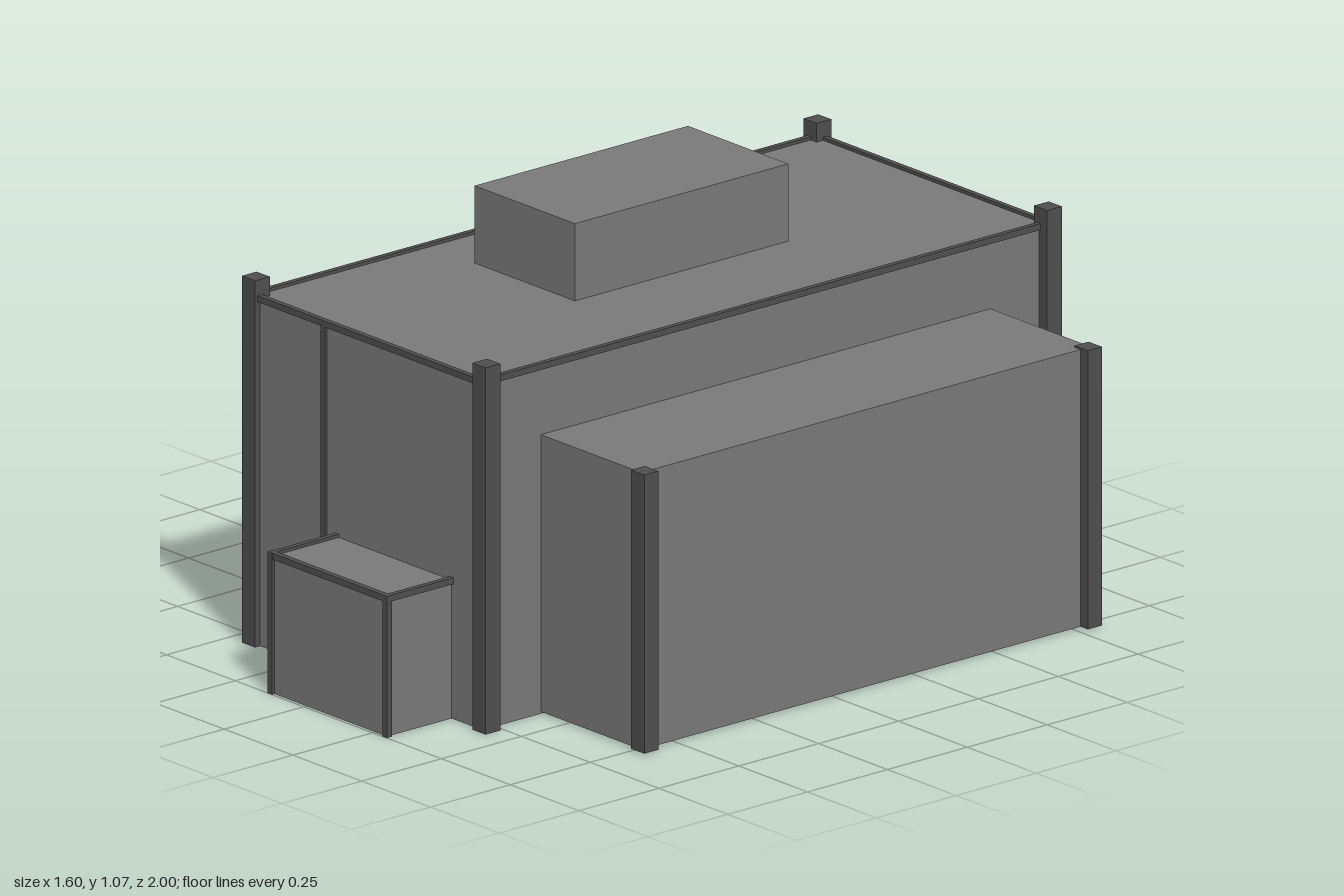
import * as THREE from 'three';

export function createModel() {
  const model = new THREE.Group();
  const wallMat = new THREE.MeshStandardMaterial({ color: 0x7a7a7a });
  const trimMat = new THREE.MeshStandardMaterial({ color: 0x505050 });

  // Box given by its lower and upper limits on each axis
  function box(name, [x0, x1], [y0, y1], [z0, z1], mat, parent = model) {
    const mesh = new THREE.Mesh(new THREE.BoxGeometry(x1 - x0, y1 - y0, z1 - z0), mat);
    mesh.position.set((x0 + x1) / 2, (y0 + y1) / 2, (z0 + z1) / 2);
    mesh.name = name;
    parent.add(mesh);
    return mesh;
  }

  function section(name) {
    const group = new THREE.Group();
    group.name = name;
    model.add(group);
    return group;
  }

  // Main hall with corner posts and roof rim
  const hall = section('mainHall');
  box('hallWalls', [-0.43, 0.405], [0, 0.873], [-0.98, 0.79], wallMat, hall);
  for (const x of [-0.427, 0.411])
    for (const z of [-0.975, 0.783])
      box('hallCornerPost', [x - 0.024, x + 0.024], [0, 0.92], [z - 0.023, z + 0.023], trimMat, hall);
  for (const x of [-0.431, 0.404])
    box('hallSideRim', [x - 0.007, x + 0.007], [0.865, 0.881], [-0.98, 0.79], trimMat, hall);
  for (const z of [-0.979, 0.791])
    box('hallEndRim', [-0.43, 0.405], [0.865, 0.881], [z - 0.007, z + 0.007], trimMat, hall);

  // Narrow strips dividing the front and left walls
  box('frontWallStrip', [-0.175, -0.16], [0, 0.866], [0.785, 0.797], trimMat, hall);
  for (const z of [-0.535, -0.095, 0.348])
    box('leftWallStrip', [-0.437, -0.425], [0, 0.866], [z - 0.007, z + 0.007], trimMat, hall);

  // Box on the roof
  box('roofBox', [-0.265, 0.1], [0.86, 1.067], [-0.43, 0.238], wallMat);

  // Long wing on the left (+x) with two outer posts
  const wing = section('longWing');
  box('longWingWalls', [0.4, 0.77], [0.005, 0.7], [-0.8, 0.607], wallMat, wing);
  for (const z of [-0.79, 0.599])
    box('longWingPost', [0.748, 0.797], [0.005, 0.704], [z - 0.022, z + 0.022], trimMat, wing);

  // Front porch with thin posts and rim
  const porch = section('frontPorch');
  box('porchWalls', [-0.124, 0.293], [0, 0.347], [0.78, 0.992], wallMat, porch);
  for (const x of [-0.124, 0.293]) {
    box('porchPost', [x - 0.008, x + 0.008], [0, 0.355], [0.984, 1], trimMat, porch);
    box('porchSideRim', [x - 0.007, x + 0.007], [0.339, 0.355], [0.79, 0.995], trimMat, porch);
  }
  box('porchFrontRim', [-0.124, 0.293], [0.339, 0.355], [0.984, 0.999], trimMat, porch);

  // Kiosk on the right (-x) with posts and rim
  const kiosk = section('sideKiosk');
  box('kioskWalls', [-0.67, -0.42], [0.005, 0.396], [-0.495, 0.312], wallMat, kiosk);
  for (const z of [-0.493, 0.31]) {
    box('kioskPost', [-0.684, -0.657], [0.005, 0.405], [z - 0.012, z + 0.012], trimMat, kiosk);
    box('kioskEndRim', [-0.67, -0.43], [0.39, 0.404], [z - 0.009, z + 0.009], trimMat, kiosk);
  }
  box('kioskFrontRim', [-0.678, -0.663], [0.39, 0.404], [-0.495, 0.312], trimMat, kiosk);

  // Sloped bar running between two points in the x-y plane
  function slopedBar(name, [ax, ay], [bx, by], thick, z0, z1) {
    const length = Math.hypot(bx - ax, by - ay);
    const bar = box(name, [-length / 2, length / 2], [-thick / 2, thick / 2], [z0, z1], trimMat, kiosk);
    bar.position.x = (ax + bx) / 2;
    bar.position.y = (ay + by) / 2;
    bar.rotation.z = Math.atan2(by - ay, bx - ax);
  }

  // Awning and its struts
  slopedBar('awning', [-0.8, 0.361], [-0.667, 0.397], 0.008, -0.48, 0.29);
  for (const z of [-0.47, 0.28])
    slopedBar('awningStrut', [-0.78, 0.365], [-0.67, 0.26], 0.009, z - 0.005, z + 0.005);

  return model;
}
